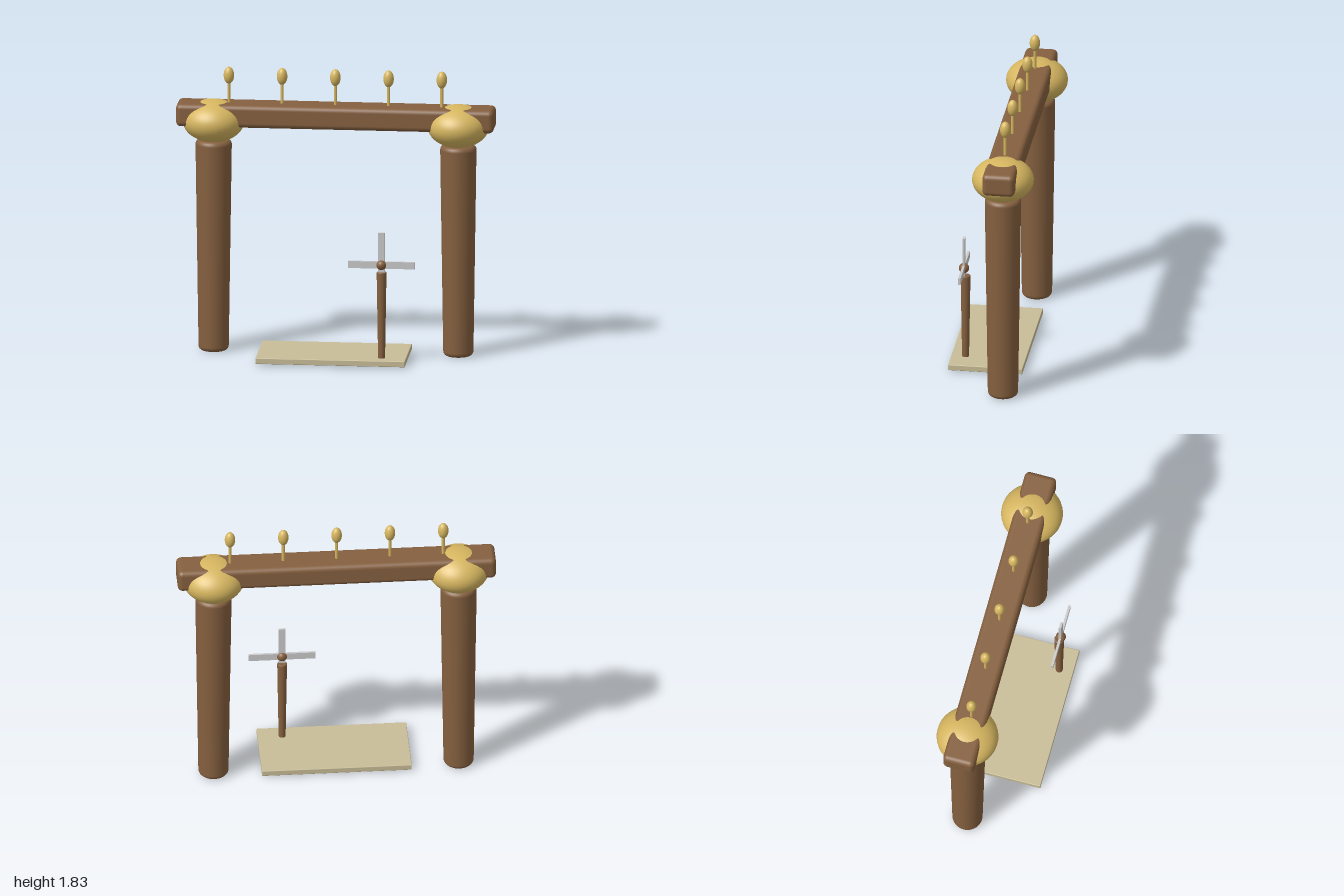
import * as THREE from 'three';
import { RoundedBoxGeometry } from 'three/addons/geometries/RoundedBoxGeometry.js';

const wood = new THREE.MeshStandardMaterial({ color: 0x85603f });
const gold = new THREE.MeshStandardMaterial({ color: 0xd6b660 });
const stone = new THREE.MeshStandardMaterial({ color: 0xc9bd98 });
const grey = new THREE.MeshStandardMaterial({ color: 0xcccccc });

function add(parent, name, geometry, material, x, y, z) {
  const mesh = new THREE.Mesh(geometry, material);
  mesh.name = name;
  mesh.position.set(x, y, z);
  parent.add(mesh);
  return mesh;
}

// Tapered round column with rounded rims, standing on its origin
function roundedColumn(rBottom, rTop, height, rim) {
  const points = [new THREE.Vector2(0, 0)];
  const steps = 5;
  for (let i = 0; i <= steps; i++) {
    const a = (i / steps) * Math.PI / 2;
    points.push(new THREE.Vector2(rBottom - rim + rim * Math.sin(a), rim - rim * Math.cos(a)));
  }
  for (let i = 0; i <= steps; i++) {
    const a = (i / steps) * Math.PI / 2;
    points.push(new THREE.Vector2(rTop - rim + rim * Math.cos(a), height - rim + rim * Math.sin(a)));
  }
  points.push(new THREE.Vector2(0, height));
  return new THREE.LatheGeometry(points, 40);
}

function ellipsoid(rx, ry) {
  return new THREE.SphereGeometry(1, 40, 24).scale(rx, ry, rx);
}

export function createModel() {
  const model = new THREE.Group();
  model.name = 'gateway';
  const gateZ = -0.1;

  // Two posts, each with a flattened ball on top
  for (const side of [1, -1]) {
    const name = side > 0 ? 'left' : 'right';
    add(model, name + 'Post', roundedColumn(0.095, 0.114, 1.358, 0.03), wood, side * 0.77, 0, gateZ);
    add(model, name + 'PostBall', ellipsoid(0.194, 0.134), gold, side * 0.77, 1.479, gateZ);
  }

  // Crossbeam
  add(model, 'crossbeam', new RoundedBoxGeometry(2, 0.145, 0.204, 5, 0.032), wood, 0, 1.527, gateZ);

  // Row of finials along the beam
  for (let i = -2; i <= 2; i++) {
    const finial = new THREE.Group();
    finial.name = 'finial';
    finial.position.set(i * 0.335 - 0.004, 1.59, gateZ);
    add(finial, 'finialStem', new THREE.CylinderGeometry(0.01, 0.01, 0.15, 16), gold, 0, 0.075, 0);
    add(finial, 'finialBulb', ellipsoid(0.033, 0.054), gold, 0, 0.183, 0);
    model.add(finial);
  }

  // Ground slab
  add(model, 'slab', new RoundedBoxGeometry(0.94, 0.037, 0.47, 2, 0.004), stone, 0, 0.028, 0.055);

  // Small windmill: pole, crossed blades and hub
  const windmill = new THREE.Group();
  windmill.name = 'windmill';
  windmill.position.set(0.316, 0, 0.2);
  add(windmill, 'pole', roundedColumn(0.022, 0.031, 0.56, 0.005), wood, 0, 0.04, 0);
  add(windmill, 'horizontalBlade', new THREE.BoxGeometry(0.42, 0.045, 0.015), grey, 0, 0.648, 0.01);
  add(windmill, 'verticalBlade', new THREE.BoxGeometry(0.043, 0.415, 0.015), grey, 0, 0.648, 0.01);
  add(windmill, 'hub', ellipsoid(0.032, 0.032), wood, 0, 0.648, 0.01);
  model.add(windmill);

  return model;
}
